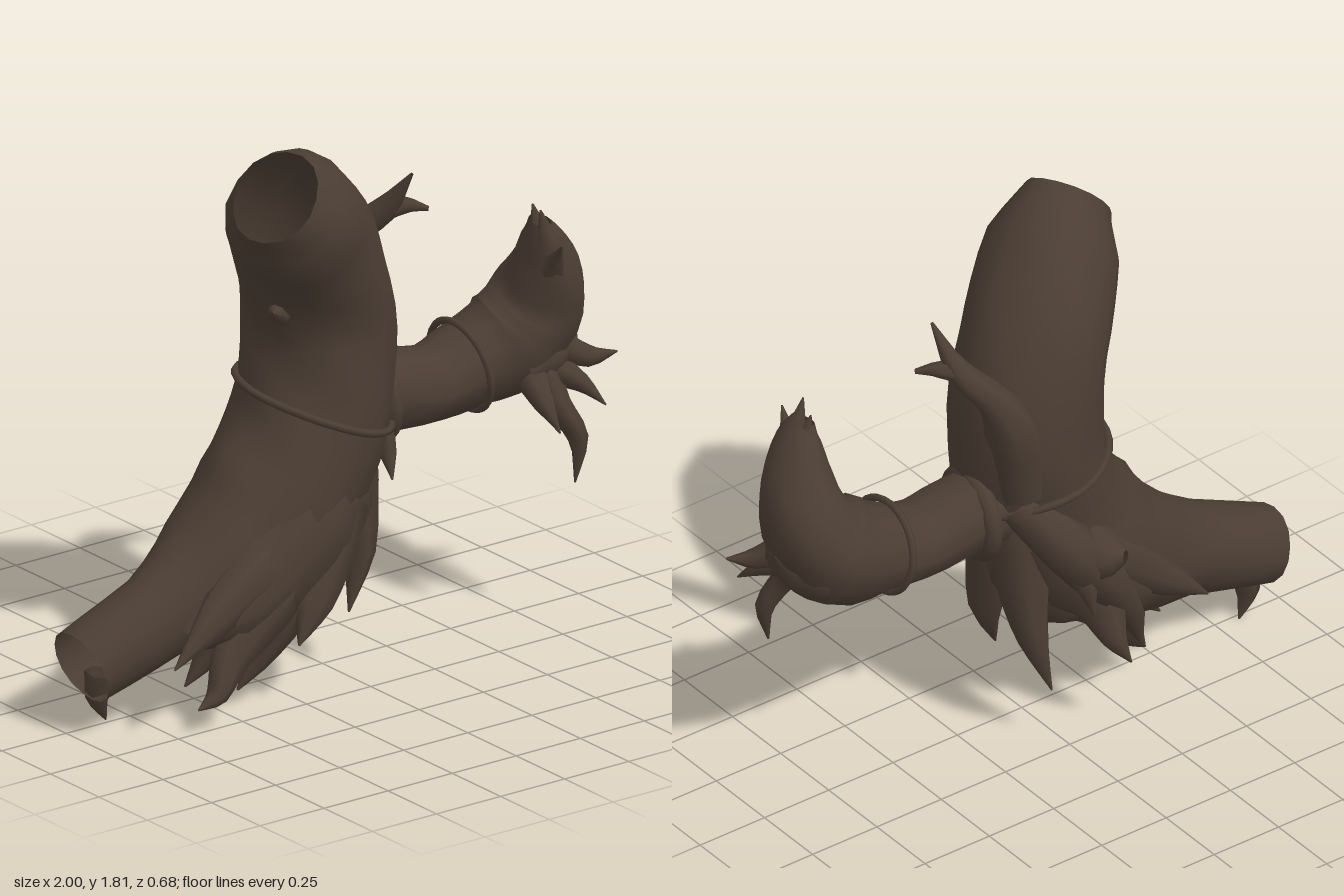
import * as THREE from 'three';

const bark = new THREE.MeshStandardMaterial({ color: 0x4b3d33, side: THREE.DoubleSide });
bark.name = 'dark bark';

// Swept limb through stations [x, y, z, radius, depthRadius?], with slightly knotty sides.
function limb(name, stations, sides = 8, steps = 3, knot = 0.04) {
  const curve = new THREE.CatmullRomCurve3(stations.map(s => new THREE.Vector3(s[0], s[1], s[2])));
  const n = (stations.length - 1) * steps;
  const first = stations[0], last = stations[stations.length - 1];
  const span = first.slice(0, 3).map((v, i) => Math.abs(last[i] - v));
  const ref = span[2] > Math.max(span[0], span[1]) ? new THREE.Vector3(1, 0, 0) : new THREE.Vector3(0, 0, 1);
  const pos = [], index = [];
  for (let i = 0; i <= n; i++) {
    const t = i / n, k = Math.min(Math.floor(i / steps), stations.length - 2), f = i / steps - k;
    const a = stations[k], b = stations[k + 1];
    const r = THREE.MathUtils.lerp(a[3], b[3], f);
    const d = THREE.MathUtils.lerp(a[4] ?? a[3], b[4] ?? b[3], f);
    const c = curve.getPoint(t), T = curve.getTangent(t);
    const N = ref.clone().addScaledVector(T, -ref.dot(T)).normalize();
    const B = new THREE.Vector3().crossVectors(T, N);
    for (let j = 0; j < sides; j++) {
      const ang = j / sides * Math.PI * 2;
      const w = 1 + knot * Math.sin(ang * 3 + i * 0.7) * Math.cos(ang + i * 0.45);
      const p = c.clone().addScaledVector(N, Math.cos(ang) * d * w).addScaledVector(B, Math.sin(ang) * r * w);
      pos.push(p.x, p.y, p.z);
      if (i < n) {
        const q = i * sides + j, s = i * sides + (j + 1) % sides;
        index.push(q, s, q + sides, s, s + sides, q + sides);
      }
    }
  }
  const g = new THREE.BufferGeometry();
  g.setAttribute('position', new THREE.Float32BufferAttribute(pos, 3));
  g.setIndex(index);
  g.computeVertexNormals();
  const mesh = new THREE.Mesh(g, bark);
  mesh.name = name;
  return mesh;
}

// Closed vine through a few points.
function vine(name, points, radius) {
  const curve = new THREE.CatmullRomCurve3(points.map(p => new THREE.Vector3(...p)), true);
  const mesh = new THREE.Mesh(new THREE.TubeGeometry(curve, 32, radius, 6, true), bark);
  mesh.name = name;
  return mesh;
}

export function createModel() {
  const model = new THREE.Group();
  model.name = 'hollowLog';

  // Curved hollow trunk, open at both ends
  model.add(limb('trunk', [
    [-0.33, 1.69, 0.195, 0.155, 0.135], [-0.22, 1.59, 0.13, 0.215, 0.215], [-0.09, 1.42, 0.035, 0.23, 0.24],
    [-0.01, 1.2, -0.01, 0.24, 0.238], [-0.015, 0.98, -0.01, 0.25, 0.24], [-0.075, 0.78, 0, 0.25, 0.245],
    [-0.21, 0.58, 0, 0.26, 0.25], [-0.43, 0.42, 0.01, 0.205, 0.21], [-0.66, 0.32, 0.02, 0.15, 0.14],
    [-0.955, 0.215, 0.02, 0.127, 0.13],
  ], 16, 3, 0.03));

  // Side branch that bends upward into a swollen broken end
  model.add(limb('sideBranch', [
    [0.08, 0.84, -0.02, 0.15, 0.14], [0.24, 0.85, -0.02, 0.135, 0.13], [0.43, 0.83, -0.02, 0.125, 0.14],
    [0.57, 0.86, -0.02, 0.14, 0.145], [0.73, 0.91, -0.005, 0.18, 0.18], [0.81, 1.03, 0.035, 0.145, 0.175],
    [0.805, 1.16, 0.09, 0.105, 0.135], [0.775, 1.28, 0.12, 0.06, 0.085], [0.755, 1.34, 0.125, 0.025, 0.05],
  ], 12));
  model.add(limb('branchHeel', [
    [0.72, 0.87, 0, 0.13, 0.17], [0.82, 0.89, 0.02, 0.12, 0.16], [0.9, 0.93, 0.03, 0.07, 0.1], [0.94, 0.95, 0.03, 0.005],
  ], 10));

  // Ring of bark where the branch leaves the trunk
  const collar = new THREE.Mesh(new THREE.TorusGeometry(0.13, 0.032, 8, 20), bark);
  collar.name = 'branchCollar';
  collar.position.set(0.21, 0.84, -0.02);
  collar.rotation.y = Math.PI / 2 - 0.1;
  model.add(collar);

  // Crooked twigs below the branch end
  [
    [[0.77, 0.83, 0.1, 0.07], [0.79, 0.73, 0.17, 0.045], [0.84, 0.62, 0.21, 0.033], [0.82, 0.48, 0.22, 0.003]],
    [[0.84, 0.9, 0.1, 0.06], [0.92, 0.86, 0.16, 0.035], [1.0, 0.87, 0.2, 0.003]],
    [[0.8, 0.84, 0.1, 0.06], [0.87, 0.79, 0.19, 0.03], [0.91, 0.73, 0.26, 0.003]],
    [[0.73, 0.83, 0.1, 0.06], [0.7, 0.77, 0.22, 0.035], [0.71, 0.69, 0.29, 0.003]],
  ].forEach((s, i) => model.add(limb('fingerTwig' + (i + 1), s, 6)));

  // Splinters around the broken branch tip
  [
    [[0.77, 1.2, 0.17, 0.05], [0.73, 1.3, 0.27, 0.003]],
    [[0.76, 1.28, 0.16, 0.045], [0.73, 1.39, 0.16, 0.003]],
    [[0.78, 1.26, 0.1, 0.05], [0.76, 1.38, 0.08, 0.003]],
  ].forEach((s, i) => model.add(limb('tipSplinter' + (i + 1), s, 5, 2)));

  // Forked twig and thorn on the upper trunk
  model.add(limb('forkedTwig', [
    [0.12, 0.95, -0.16, 0.07], [0.15, 1.2, -0.155, 0.09], [0.22, 1.34, -0.14, 0.055],
    [0.29, 1.43, -0.06, 0.042], [0.32, 1.57, 0.04, 0.005],
  ], 7));
  model.add(limb('twigFork', [[0.27, 1.41, -0.08, 0.035], [0.34, 1.44, -0.03, 0.028], [0.4, 1.43, 0.02, 0.008]], 6));
  model.add(limb('thorn', [[-0.17, 1.23, 0.07, 0.06], [-0.25, 1.26, 0.1, 0.035], [-0.3, 1.28, 0.14, 0.003]], 6));

  // Swollen sheets of bark that the roots grow from
  model.add(limb('frontBulge', [
    [-0.03, 0.72, 0.05, 0.14, 0.14], [-0.16, 0.56, 0.09, 0.21, 0.17], [-0.34, 0.42, 0.12, 0.19, 0.15],
    [-0.52, 0.34, 0.14, 0.13, 0.13], [-0.66, 0.28, 0.16, 0.04, 0.06],
  ], 12));
  model.add(limb('backBulge', [
    [0.03, 0.78, -0.1, 0.12, 0.12], [-0.12, 0.6, -0.12, 0.19, 0.15], [-0.3, 0.45, -0.1, 0.17, 0.14], [-0.5, 0.34, -0.08, 0.08, 0.08],
  ], 12));
  model.add(limb('lowerBulge', [
    [0.04, 0.78, 0, 0.12, 0.18], [0.0, 0.58, 0, 0.14, 0.19], [-0.08, 0.42, 0.02, 0.11, 0.17], [-0.2, 0.3, 0.04, 0.05, 0.1],
  ], 12));

  // Front roots, spreading down and to the lower end
  [
    [[-0.22, 0.52, 0.14, 0.1], [-0.42, 0.44, 0.18, 0.1, 0.09], [-0.6, 0.35, 0.23, 0.07, 0.045], [-0.78, 0.24, 0.27, 0.003]],
    [[-0.22, 0.46, 0.12, 0.13], [-0.38, 0.33, 0.17, 0.12, 0.1], [-0.53, 0.2, 0.22, 0.07, 0.05], [-0.6, 0.11, 0.25, 0.035], [-0.68, 0.08, 0.26, 0.003]],
    [[-0.15, 0.5, 0.08, 0.15], [-0.25, 0.33, 0.12, 0.13, 0.12], [-0.34, 0.17, 0.14, 0.06, 0.05], [-0.43, 0.05, 0.13, 0.003]],
    [[-0.05, 0.58, 0.08, 0.14], [-0.12, 0.44, 0.14, 0.12, 0.11], [-0.2, 0.31, 0.21, 0.08, 0.055], [-0.28, 0.2, 0.25, 0.003]],
    [[-0.3, 0.42, 0.05, 0.14], [-0.45, 0.25, 0.08, 0.09], [-0.52, 0.16, 0.08, 0.04], [-0.59, 0.08, 0.07, 0.003]],
  ].forEach((s, i) => model.add(limb('frontRoot' + (i + 1), s, 8)));

  // Hanging roots beneath the branch
  [
    [[0.08, 0.8, 0.02, 0.1], [0.08, 0.6, 0.04, 0.09], [0.08, 0.38, 0.08, 0.055], [0.02, 0.2, 0.11, 0.003]],
    [[0.08, 0.8, -0.08, 0.1], [0.08, 0.55, -0.12, 0.085], [0.08, 0.38, -0.17, 0.05], [0.04, 0.2, -0.21, 0.003]],
    [[0.1, 0.85, 0.06, 0.08], [0.15, 0.74, 0.12, 0.04], [0.13, 0.64, 0.19, 0.003]],
  ].forEach((s, i) => model.add(limb('hangingRoot' + (i + 1), s, 7)));

  // Back roots and their knotted bulge
  [
    [[0.13, 0.92, -0.14, 0.07], [0.0, 0.74, -0.24, 0.09, 0.08], [-0.13, 0.57, -0.23, 0.09], [-0.25, 0.38, -0.22, 0.05], [-0.3, 0.24, -0.22, 0.003]],
    [[-0.1, 0.68, -0.18, 0.1], [-0.26, 0.55, -0.18, 0.1, 0.08], [-0.42, 0.42, -0.19, 0.06], [-0.56, 0.32, -0.22, 0.003]],
    [[-0.08, 0.6, -0.14, 0.12], [-0.14, 0.45, -0.22, 0.08], [-0.15, 0.36, -0.28, 0.045], [-0.18, 0.28, -0.33, 0.003]],
    [[-0.2, 0.48, -0.08, 0.14], [-0.3, 0.3, -0.08, 0.1], [-0.36, 0.18, -0.08, 0.05], [-0.42, 0.1, -0.08, 0.003]],
    [[-0.02, 0.72, -0.2, 0.06], [-0.04, 0.62, -0.27, 0.045], [-0.05, 0.5, -0.31, 0.003]],
  ].forEach((s, i) => model.add(limb('backRoot' + (i + 1), s, 8)));
  model.add(limb('backKnot', [[-0.08, 0.67, -0.18, 0.12], [-0.12, 0.69, -0.29, 0.08], [-0.15, 0.7, -0.34, 0.02]], 8));

  // Splinter at the lower opening
  model.add(limb('lowerSplinter', [[-0.86, 0.17, 0, 0.06, 0.05], [-0.87, 0.09, -0.01, 0.04], [-0.83, 0, -0.02, 0.003]], 6));

  // Thin vines tied round the trunk and the branch
  model.add(vine('trunkVine', [
    [-0.29, 0.98, 0.02], [-0.21, 0.93, 0.17], [-0.05, 0.86, 0.25], [0.1, 0.81, 0.2],
    [0.2, 0.8, 0.08], [0.21, 0.86, -0.1], [0.1, 0.92, -0.23], [-0.06, 0.95, -0.255], [-0.22, 0.98, -0.16],
  ], 0.013));
  const loop = [];
  for (let i = 0; i < 10; i++) {
    const a = i / 10 * Math.PI * 2;
    loop.push([0.555 - 0.025 * Math.sin(a), 0.86 + 0.148 * Math.sin(a), -0.02 + 0.155 * Math.cos(a)]);
  }
  model.add(vine('branchVine', loop, 0.012));

  return model;
}
